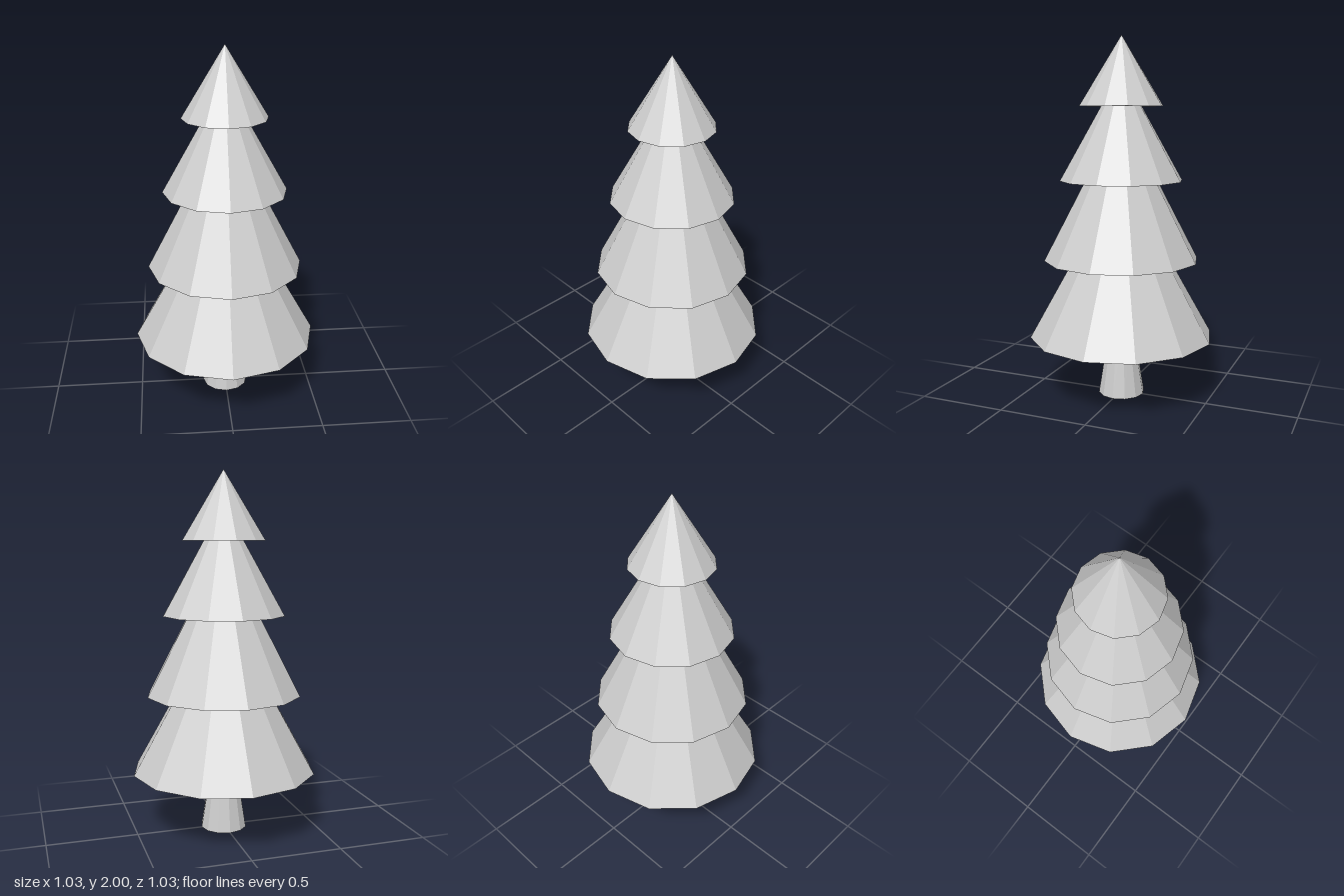
import * as THREE from 'three';

const SIDES = 12;

export function createModel() {
  const tree = new THREE.Group();
  tree.name = 'pineTree';
  const grey = new THREE.MeshStandardMaterial({ color: 0xcccccc, flatShading: true, side: THREE.DoubleSide });
  grey.name = 'light grey';

  // Adds a part whose base stands at the given height
  const add = (name, geometry, base, height) => {
    const mesh = new THREE.Mesh(geometry, grey);
    mesh.name = name;
    mesh.position.y = base + height / 2;
    tree.add(mesh);
  };

  // Tapered trunk, open at the bottom
  add('trunk', new THREE.CylinderGeometry(0.073, 0.13, 0.36, SIDES, 1, true), 0, 0.36);

  // Foliage tiers: base radius, base height, tip height
  const tiers = [
    [0.515, 0.34, 1.255],
    [0.432, 0.775, 1.6],
    [0.341, 1.217, 1.82],
    [0.232, 1.622, 2],
  ];
  tiers.forEach(([radius, base, tip], i) => {
    add(`foliageTier${i + 1}`, new THREE.ConeGeometry(radius, tip - base, SIDES), base, tip - base);
  });
  return tree;
}
